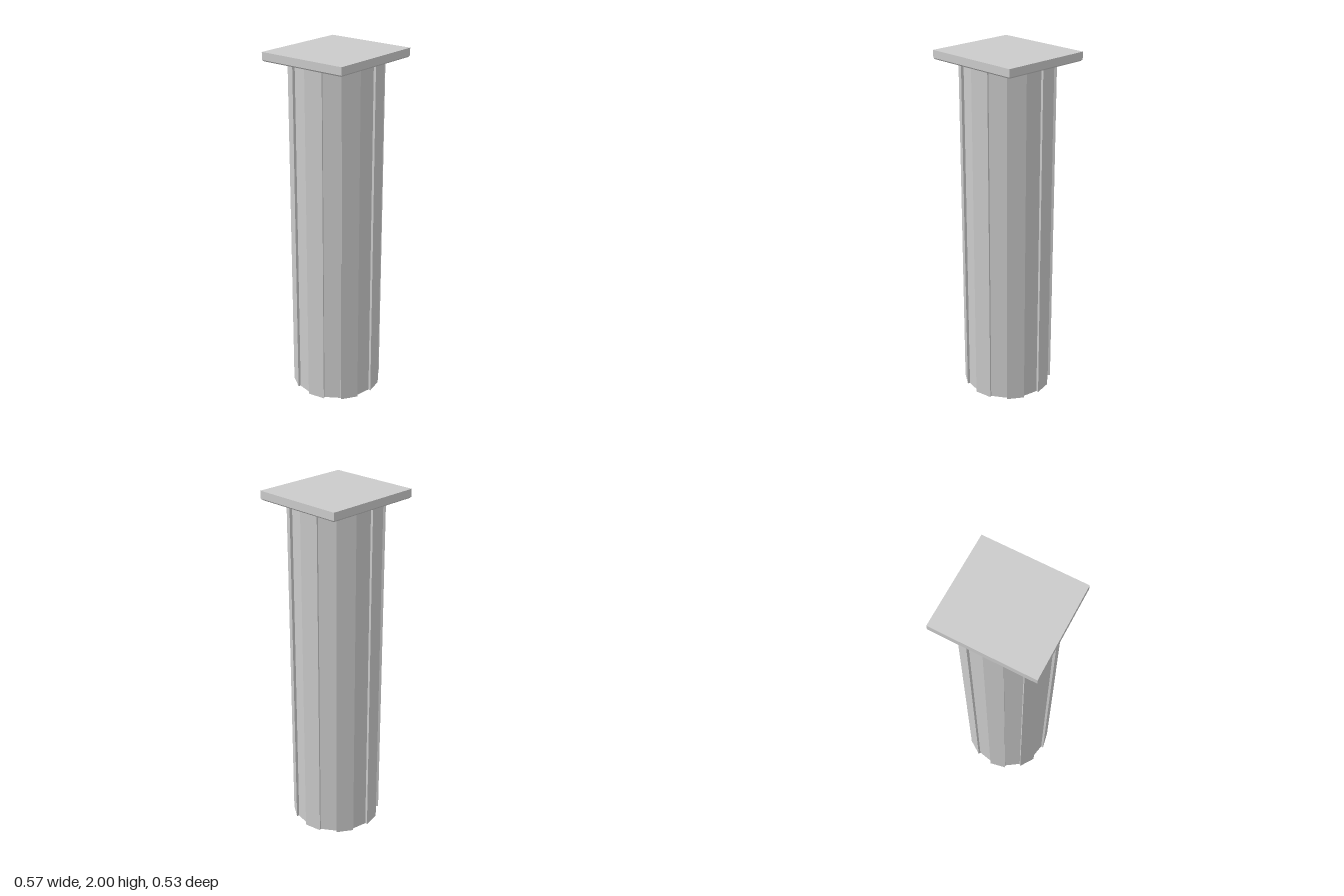
import * as THREE from 'three';

const material = new THREE.MeshStandardMaterial({ color: 0xcccccc, flatShading: true });
const capBottom = 1.95;

// Shaft: sixteen flat staves, alternately raised and recessed
function makeShaft() {
  const sides = 16, raised = 0.259, recessed = 0.245;
  const points = [];
  for (let i = 0; i < sides; i++) {
    const radius = i % 2 === 0 ? raised : recessed;
    for (const j of [i, i + 1]) {
      const a = (j / sides) * Math.PI * 2;
      points.push(new THREE.Vector2(Math.sin(a) * radius, -Math.cos(a) * radius));
    }
  }
  const geometry = new THREE.ExtrudeGeometry(new THREE.Shape(points), {
    depth: capBottom, bevelEnabled: false,
  });
  geometry.rotateX(-Math.PI / 2);
  const mesh = new THREE.Mesh(geometry, material);
  mesh.name = 'shaft';
  return mesh;
}

// Cap: thin slab with a small chamfer around its lower edge
function makeCap() {
  const width = 0.574, depth = 0.534, chamfer = 0.008;
  const geometry = new THREE.BoxGeometry(width, 2 - capBottom, depth, 1, 2, 1);
  geometry.translate(0, (2 + capBottom) / 2, 0);
  const p = geometry.attributes.position;
  for (let i = 0; i < p.count; i++) {
    if (p.getY(i) < capBottom + 0.001) {
      p.setX(i, p.getX(i) - Math.sign(p.getX(i)) * chamfer);
      p.setZ(i, p.getZ(i) - Math.sign(p.getZ(i)) * chamfer);
    } else if (p.getY(i) < 1.99) {
      p.setY(i, capBottom + chamfer);
    }
  }
  geometry.computeVertexNormals();
  const mesh = new THREE.Mesh(geometry, material);
  mesh.name = 'cap';
  return mesh;
}

export function createModel() {
  const column = new THREE.Group();
  column.name = 'column';
  column.add(makeShaft(), makeCap());
  return column;
}
